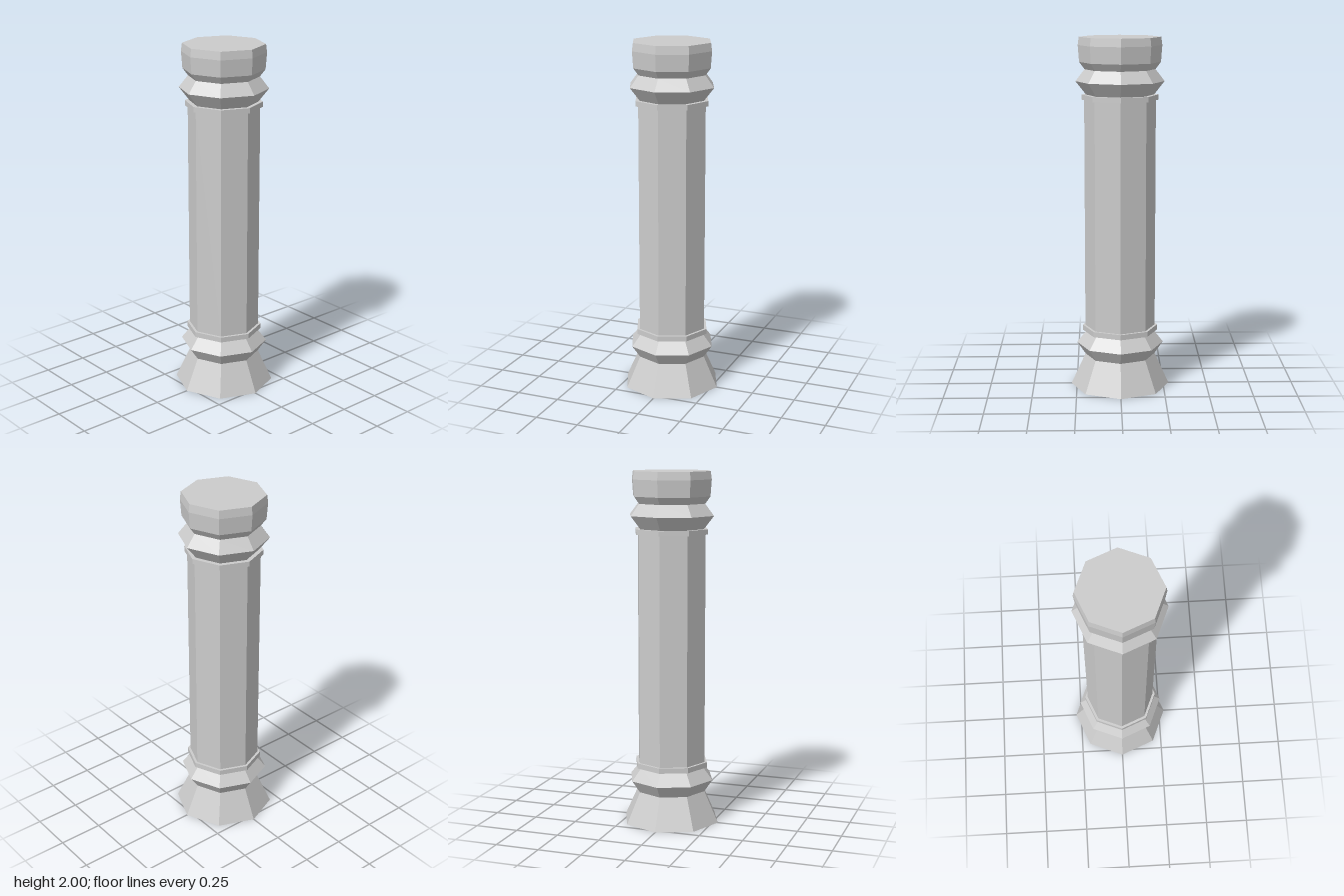
import * as THREE from 'three';

const SIDES = 8;
const material = new THREE.MeshStandardMaterial({
  color: 0xcccccc, flatShading: true, side: THREE.DoubleSide,
});

// Octagonal ring section turned from [radius, height] pairs, listed bottom to top
function turned(name, profile) {
  const points = profile.map(([r, y]) => new THREE.Vector2(r, y));
  const mesh = new THREE.Mesh(new THREE.LatheGeometry(points, SIDES), material);
  mesh.name = name;
  return mesh;
}

export function createModel() {
  const column = new THREE.Group();
  column.name = 'column';

  column.add(
    // Flared foot, open underneath
    turned('foot', [[0.282, 0], [0.2, 0.18]]),
    turned('lowerMoulding', [[0.2, 0.18], [0.248, 0.25], [0.19, 0.323]]),
    turned('lowerCollar', [[0.19, 0.323], [0.215, 0.323], [0.215, 0.353], [0.2, 0.353]]),
    turned('shaft', [[0.2, 0.353], [0.2, 1.653]]),
    turned('upperCollar', [[0.2, 1.653], [0.215, 1.653], [0.215, 1.682], [0.19, 1.682]]),
    turned('upperMoulding', [[0.19, 1.682], [0.248, 1.756], [0.197, 1.822]]),
    // Head block with a slight taper and a closed top
    turned('head', [[0.197, 1.822], [0.227, 1.862], [0.234, 1.955], [0.228, 2], [0, 2]]),
  );
  return column;
}
